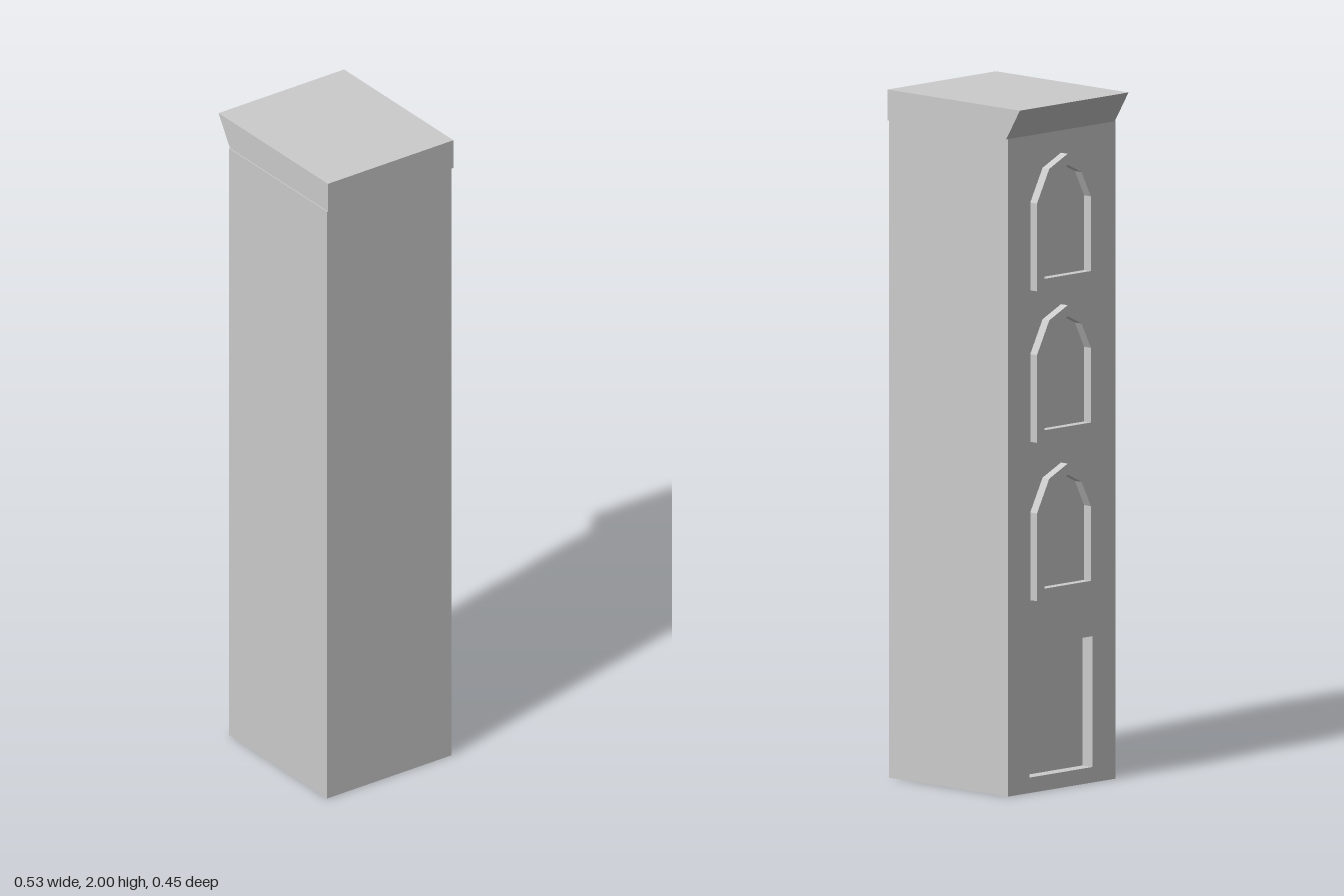
import * as THREE from 'three';

const material = new THREE.MeshStandardMaterial({ color: 0xcccccc, flatShading: true });
const WALL_X = -0.21, BACK_X = 0.265, Z0 = -0.218, Z1 = 0.224;
const CAP_Y = 1.91, DOOR_DEPTH = 0.04, FRAME_DEPTH = 0.027;

const toPoints = list => list.map(([a, b]) => new THREE.Vector2(a, b));

function addMesh(parent, name, geometry) {
  const mesh = new THREE.Mesh(geometry, material);
  mesh.name = name;
  parent.add(mesh);
  return mesh;
}

// Extrudes a (z, y) outline with one hole towards -x, starting at startX
function extrudeToFacade(outline, hole, depth, startX) {
  const shape = new THREE.Shape(toPoints(outline));
  shape.holes.push(new THREE.Path(toPoints(hole)));
  return new THREE.ExtrudeGeometry(shape, { depth, bevelEnabled: false })
    .rotateY(-Math.PI / 2)
    .translate(startX, 0, 0);
}

const rectangle = (z0, z1, y0, y1) => [[z0, y0], [z1, y0], [z1, y1], [z0, y1]];

// Faceted pointed arch, symmetric about z = 0
function arch(halfWidth, bottom, shoulder, haunch, apex) {
  const right = [[halfWidth, bottom], [halfWidth, shoulder], [halfWidth * 0.6, haunch]];
  const left = right.map(([z, y]) => [-z, y]).reverse();
  return [...right, [0, apex], ...left];
}

export function createModel() {
  const model = new THREE.Group();
  model.name = 'townhouse';

  // Main block behind the facade
  const coreX = WALL_X + DOOR_DEPTH;
  addMesh(model, 'body', new THREE.BoxGeometry(BACK_X - coreX, CAP_Y, Z1 - Z0))
    .position.set((BACK_X + coreX) / 2, CAP_Y / 2, (Z0 + Z1) / 2);

  // Facade wall with the recessed doorway
  addMesh(model, 'facade', extrudeToFacade(
    rectangle(Z0, Z1, 0, CAP_Y), rectangle(-0.13, 0.13, 0.045, 0.425), DOOR_DEPTH, coreX));

  // Roof block with sloping cornice over the facade
  const profile = [[WALL_X, CAP_Y], [BACK_X, CAP_Y], [BACK_X, 2], [-0.265, 2]];
  addMesh(model, 'cornice', new THREE.ExtrudeGeometry(
    new THREE.Shape(toPoints(profile)), { depth: 0.446, bevelEnabled: false }))
    .position.z = -0.225;

  // Three raised arched window frames
  [0.56, 1.02, 1.46].forEach((y, i) => {
    const frame = extrudeToFacade(
      arch(0.126, 0, 0.255, 0.35, 0.385),
      arch(0.095, 0.033, 0.25, 0.325, 0.353), FRAME_DEPTH, WALL_X);
    addMesh(model, `windowFrame${i + 1}`, frame).position.y = y;
  });

  return model;
}
